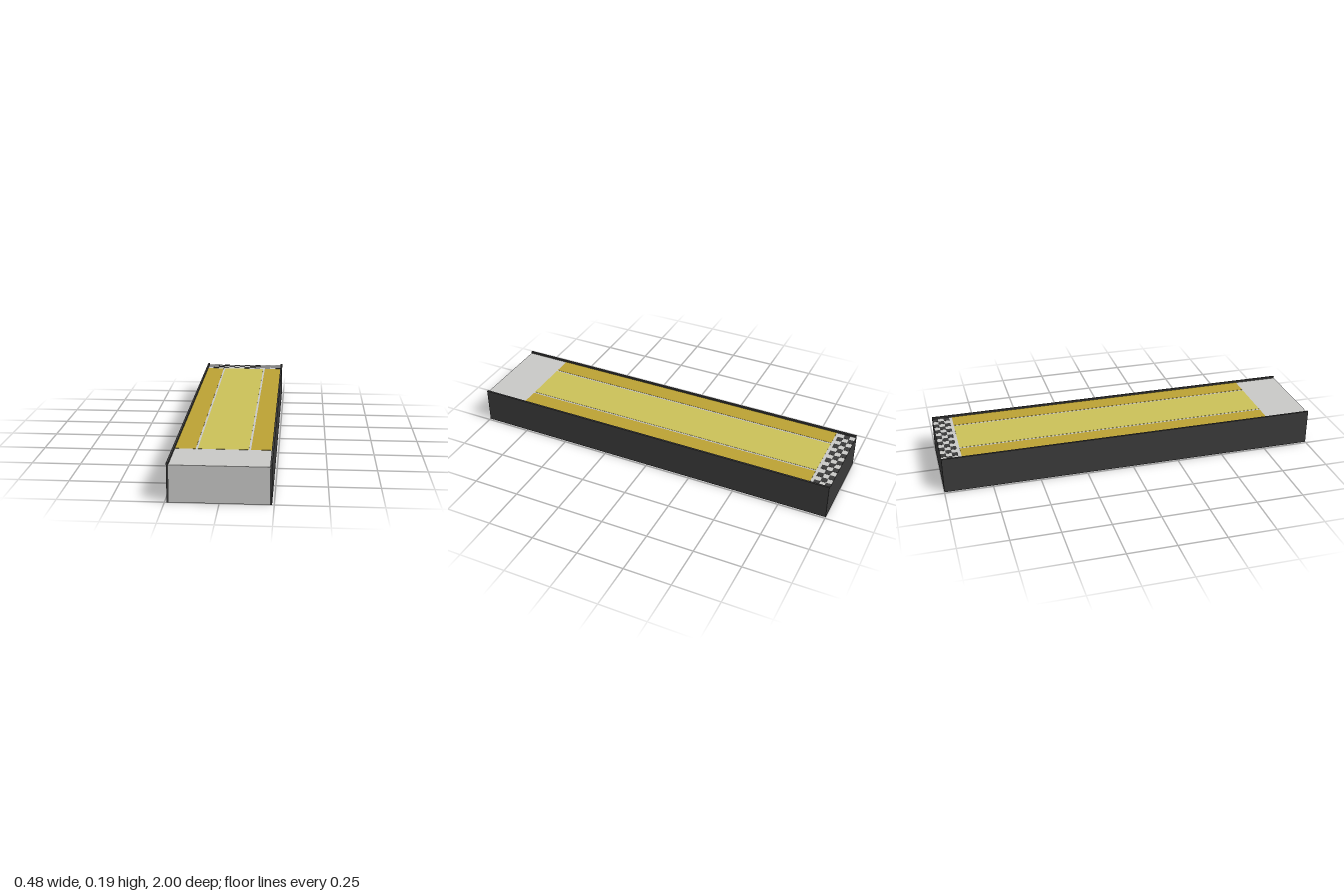
import * as THREE from 'three';

const paint = (name, color) => {
  const m = new THREE.MeshStandardMaterial({ color });
  m.name = name;
  return m;
};

export function createModel() {
  const group = new THREE.Group();
  const grey = paint('lightGrey', 0xc8c8c6);
  const dark = paint('charcoal', 0x3a3a3a);
  const gold = paint('darkGold', 0xbba234);
  const yellow = paint('paleYellow', 0xcac058);

  const W = 0.46, H = 0.18;

  // Box given by its extents along x, y and z
  const box = (name, material, [x0, x1], [y0, y1], [z0, z1]) => {
    const mesh = new THREE.Mesh(new THREE.BoxGeometry(x1 - x0, y1 - y0, z1 - z0), material);
    mesh.position.set((x0 + x1) / 2, (y0 + y1) / 2, (z0 + z1) / 2);
    mesh.name = name;
    group.add(mesh);
  };

  // Body: pale top and front, dark sides, underside and back
  box('body', [dark, dark, grey, dark, grey, dark], [-W / 2, W / 2], [0, H], [-1, 1]);

  // Side rails standing slightly above the deck
  box('leftRail', dark, [0.23, 0.24], [0, 0.19], [-1, 1]);
  box('rightRail', dark, [-0.24, -0.23], [0, 0.19], [-1, 1]);

  // Painted lane with a darker band on each side, thin pale lines between
  const deck = [H, H + 0.001], run = [-0.895, 0.76];
  box('lane', yellow, [-0.121, 0.121], deck, run);
  box('leftBand', gold, [0.131, 0.23], deck, run);
  box('rightBand', gold, [-0.23, -0.131], deck, run);

  // Chequered strip at the far end
  const columns = 14, rows = 3, cw = W / columns, cd = 0.03;
  for (let r = 0; r < rows; r++) {
    for (let c = 0; c < columns; c++) {
      if ((r + c) % 2 === 0) continue;
      const x = -W / 2 + c * cw, z = -1 + r * cd;
      box('checkSquare', dark, [x, x + cw], deck, [z, z + cd]);
    }
  }
  return group;
}
